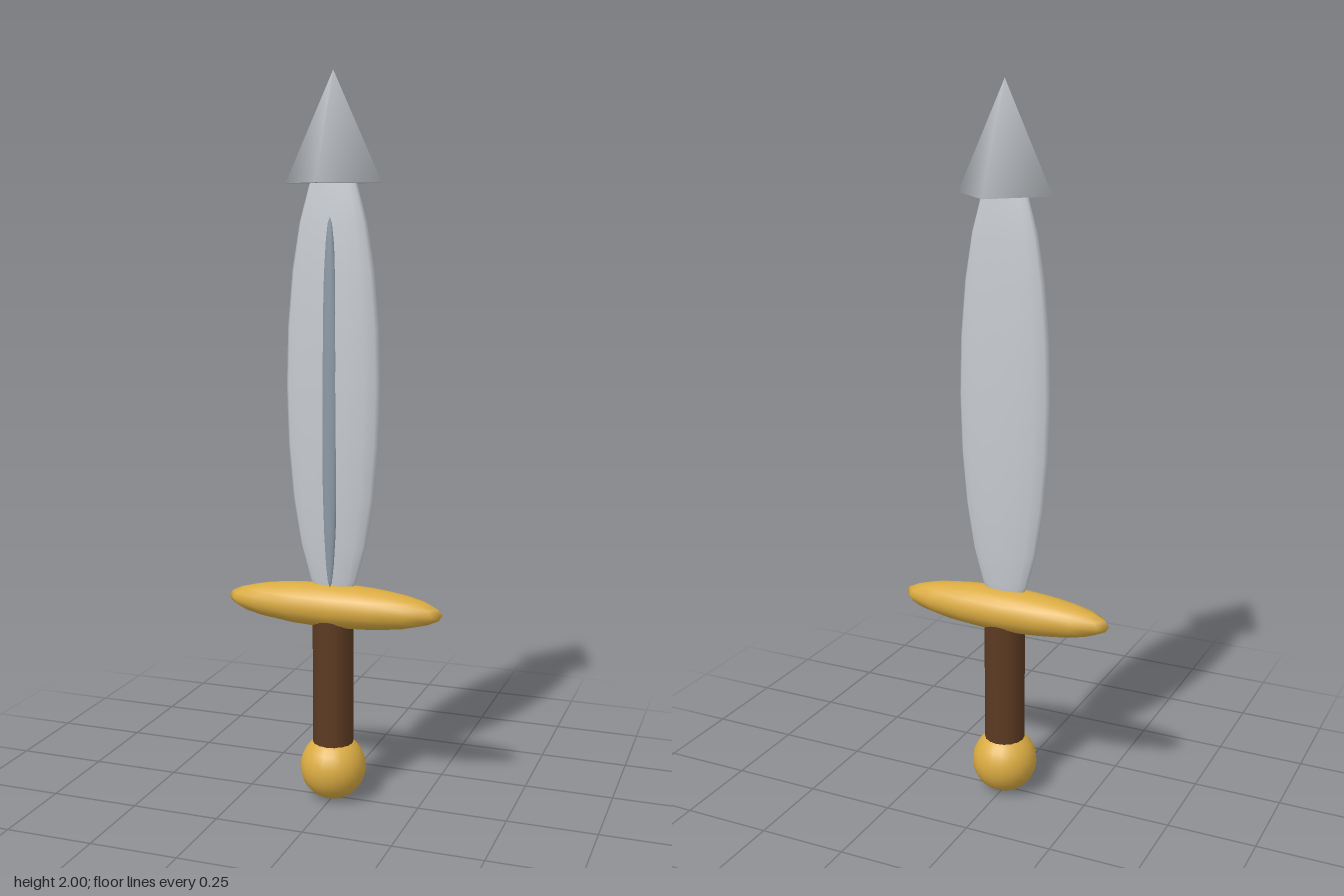
import * as THREE from 'three';

const material = (name, color) => {
  const m = new THREE.MeshStandardMaterial({ color });
  m.name = name;
  return m;
};

// Four-sided point whose shading rounds over at the base corners
function pointGeometry(radius, height) {
  const geo = new THREE.ConeGeometry(radius, height, 4).toNonIndexed();
  const pos = geo.attributes.position;
  const normal = geo.attributes.normal;
  const corners = [0, 1, 2].map(() => new THREE.Vector3());
  const face = new THREE.Vector3();
  const edge = new THREE.Vector3();
  const n = new THREE.Vector3();
  for (let i = 0; i < pos.count; i += 3) {
    corners.forEach((c, k) => c.fromBufferAttribute(pos, i + k));
    face.subVectors(corners[1], corners[0]);
    edge.subVectors(corners[2], corners[0]);
    face.cross(edge).normalize();
    if (face.y < -0.9) continue; // flat underside
    corners.forEach((c, k) => {
      if (c.y > 0) n.copy(face);
      else n.set(c.x, -0.18 * radius, c.z).normalize();
      normal.setXYZ(i + k, n.x, n.y, n.z);
    });
  }
  return geo;
}

export function createModel() {
  const group = new THREE.Group();
  group.name = 'dagger';

  const steel = material('steel', 0xc6cacf);
  const darkSteel = material('darkSteel', 0x8d99a5);
  const gold = material('gold', 0xdaab42);
  const leather = material('leather', 0x5c3a21);

  const add = (name, geometry, mat, x, y, z) => {
    const mesh = new THREE.Mesh(geometry, mat);
    mesh.name = name;
    mesh.position.set(x, y, z);
    group.add(mesh);
    return mesh;
  };
  const ellipsoid = (rx, ry, rz, w = 16, h = 12) =>
    new THREE.SphereGeometry(1, w, h).scale(rx, ry, rz);

  // Hilt
  add('pommel', ellipsoid(0.0925, 0.0925, 0.0925, 20, 16), gold, 0, 0.0925, 0);
  add('grip', new THREE.CylinderGeometry(0.057, 0.057, 0.37, 16), leather, 0, 0.345, 0);
  add('guard', ellipsoid(0.313, 0.061, 0.07), gold, 0, 0.56, 0);

  // Blade with a raised dark strip on the front only
  add('blade', ellipsoid(0.134, 0.62, 0.035), steel, 0, 1.17, 0);
  add('bladeStrip', ellipsoid(0.023, 0.503, 0.012), darkSteel, 0, 1.12, 0.027);

  // Point
  add('bladePoint', pointGeometry(0.135, 0.29), steel, 0, 1.855, 0);

  return group;
}
